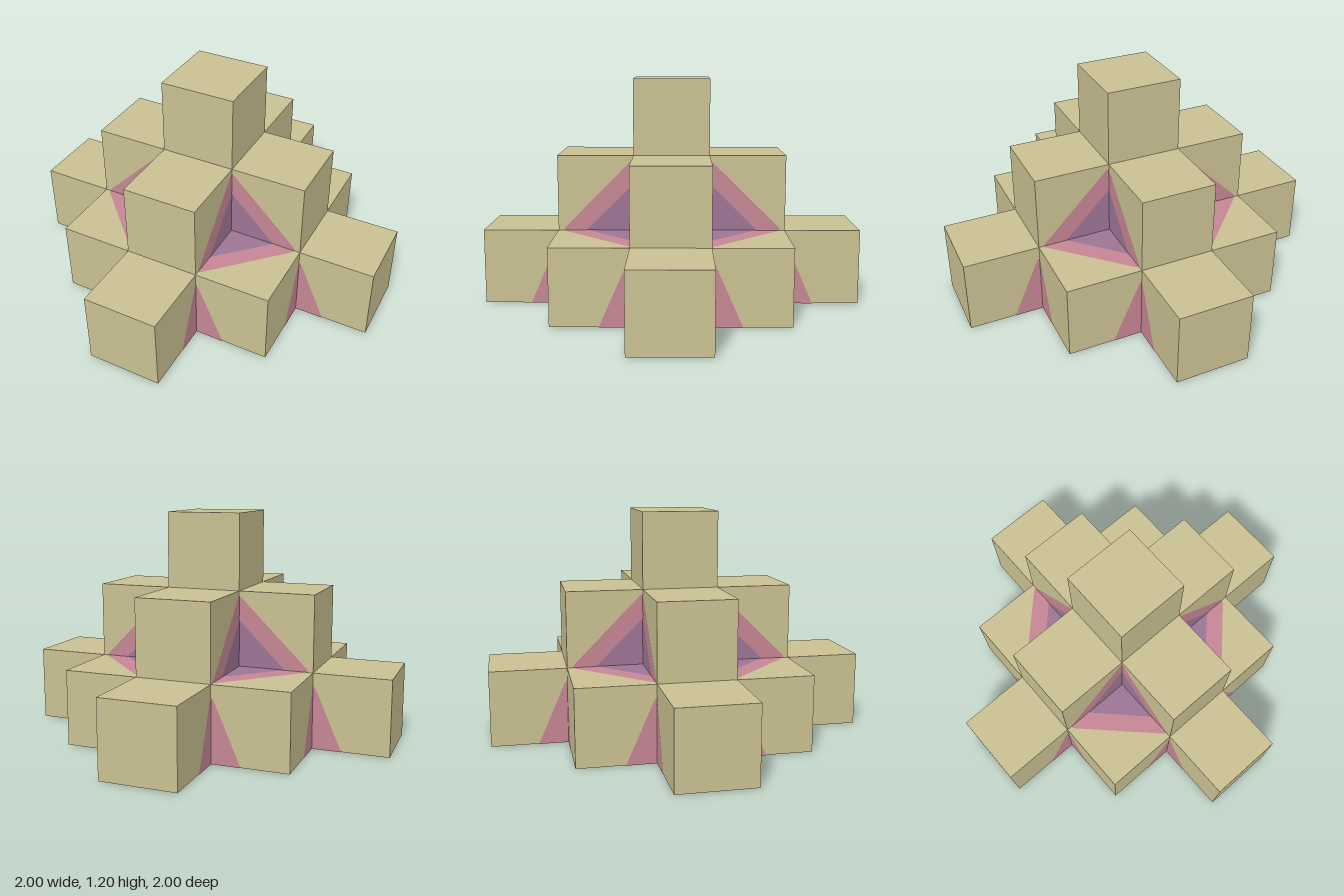
import * as THREE from 'three';

const X = new THREE.Vector3(1, 0, 0);
const Y = new THREE.Vector3(0, 1, 0);
const Z = new THREE.Vector3(0, 0, 1);
const S = 0.4; // block size

const material = (name, color) => {
  const m = new THREE.MeshStandardMaterial({ color });
  m.name = name;
  return m;
};

const toShape = (points) => new THREE.Shape(points.map(([a, b]) => new THREE.Vector2(a, b)));

// Repeat first-quadrant points around four quarter turns
function fourfold(points) {
  const out = [];
  for (let q = 0; q < 4; q++) {
    for (const [a, b] of points) {
      let p = [a, b];
      for (let i = 0; i < q; i++) p = [-p[1], p[0]];
      out.push(p);
    }
  }
  return out;
}

export function createModel() {
  const model = new THREE.Group();
  model.name = 'steppedPyramid';
  const stone = material('sand', 0xc9c092);
  const pink = material('rosePink', 0xc58594);
  const purple = material('mutedPurple', 0x9d7595);

  // One storey with a staircase outline; steps = blocks beside the centre one
  function storey(name, steps, y0, y1) {
    const corner = [];
    for (let i = 0; i <= steps; i++) {
      const a = S * (steps - i) + S / 2;
      corner.push([a, S * i + S / 2]);
      if (i < steps) corner.push([a - S, S * i + S / 2]);
    }
    // inner corners sit between neighbouring block corners
    const geo = new THREE.ExtrudeGeometry(toShape(fourfold(corner)), { depth: y1 - y0, bevelEnabled: false });
    geo.rotateX(-Math.PI / 2).translate(0, y0, 0);
    const mesh = new THREE.Mesh(geo, stone);
    mesh.name = name;
    model.add(mesh);
  }
  storey('bottomStorey', 2, 0.001, S);
  storey('middleStorey', 1, S, 2 * S);
  storey('topBlock', 0, 2 * S, 3 * S);

  // Flat painted patch lying just above the plane spanned by u and v
  function patch(parent, name, points, origin, u, v, lift, mat) {
    const n = new THREE.Vector3().crossVectors(u, v);
    const basis = new THREE.Matrix4().makeBasis(u, v, n);
    basis.setPosition(new THREE.Vector3(...origin).addScaledVector(n, lift));
    const mesh = new THREE.Mesh(new THREE.ShapeGeometry(toShape(points)).applyMatrix4(basis), mat);
    mesh.name = name;
    parent.add(mesh);
  }

  const outer = [[0, 0], [0.375, 0], [0.37, 0.015], [0.015, 0.365], [0, 0.37]];
  const inner = [[0, 0], [0.252, 0], [0, 0.252]];
  const wedge = [[0, 0], [0.155, 0], [0.015, 0.32], [0, 0.335]];
  const wedgeTurned = wedge.map(([a, b]) => [b, a]);

  for (let q = 0; q < 4; q++) {
    const side = new THREE.Group();
    side.name = 'paintedCorner' + (q + 1);
    side.rotation.y = q * Math.PI / 2;
    // Nested triangles on the three faces of the upper recess
    for (const [u, v] of [[X, Y], [Y, Z], [Z, X]]) {
      patch(side, 'recessBorder', outer, [0.2, 0.4, 0.2], u, v, 0.0015, pink);
      patch(side, 'recessCentre', inner, [0.2, 0.4, 0.2], u, v, 0.003, purple);
    }
    // Wedges in the lower notches
    for (const origin of [[0.2, 0, 0.6], [0.6, 0, 0.2]]) {
      patch(side, 'notchWedge', wedge, origin, X, Y, 0.0015, pink);
      patch(side, 'notchWedge', wedgeTurned, origin, Y, Z, 0.0015, pink);
    }
    model.add(side);
  }

  // Painted underside, following the staircase inside a blunt diamond
  const base = fourfold([
    [0.89, 0.065], [0.755, 0.2], [0.6, 0.2], [0.6, 0.355],
    [0.355, 0.6], [0.2, 0.6], [0.2, 0.755], [0.065, 0.89],
  ]);
  patch(model, 'undersidePaint', base, [0, 0, 0], X, Z, 0, pink);
  return model;
}
